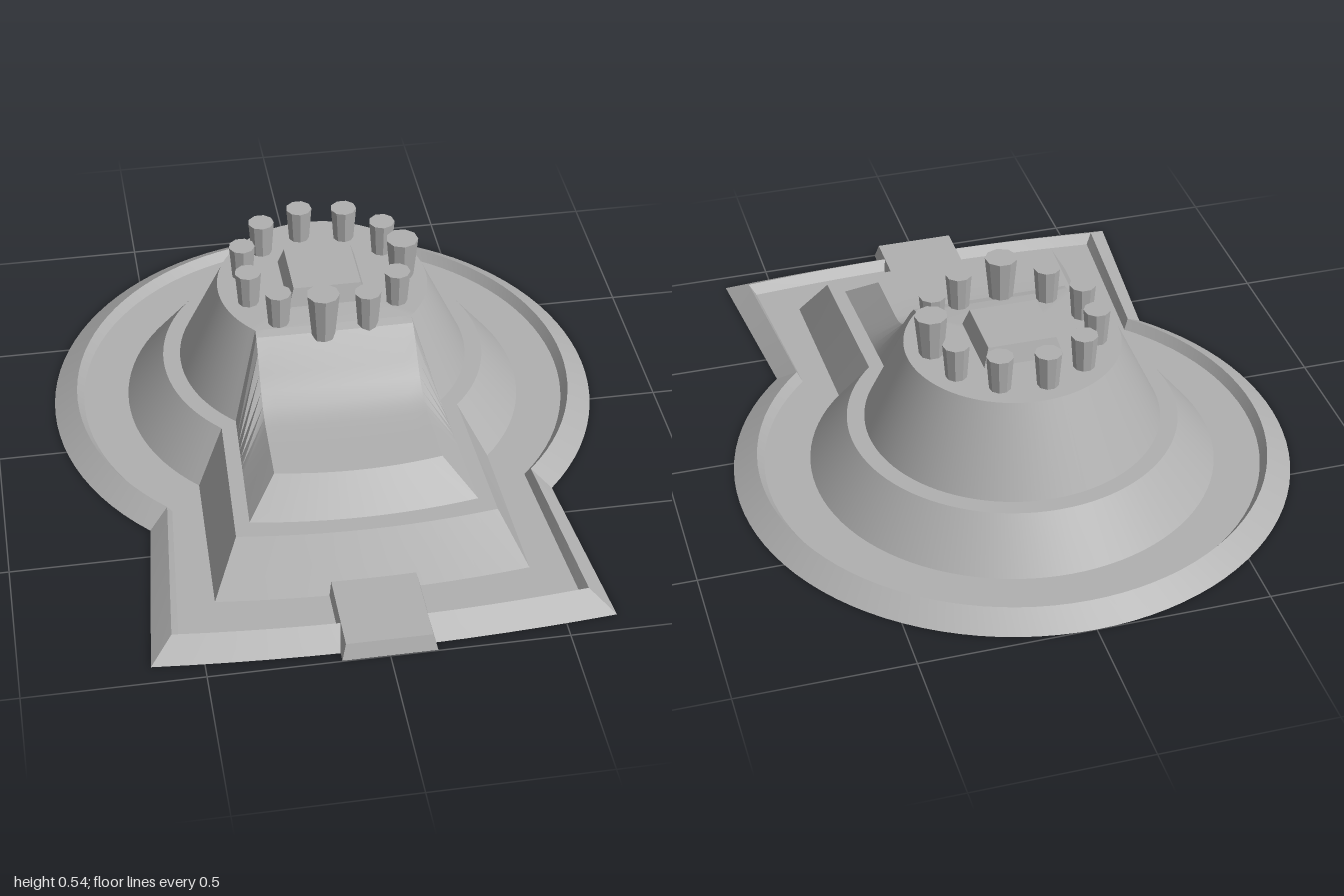
import * as THREE from 'three';
import { toCreasedNormals } from 'three/addons/utils/BufferGeometryUtils.js';

const CZ = -0.18;   // centre of the round part
const COLS = 12;    // divisions across the front edge
const ARC = 72;     // divisions around the round part

// Ramp profile running forward: [fraction of length, height]
const RAMP = [[0, 0.41], [0.06, 0.403], [0.14, 0.37], [0.22, 0.325], [0.3, 0.287],
  [0.38, 0.26], [0.46, 0.245], [0.54, 0.24], [0.75, 0.24], [1, 0.24]];

// Keyhole outline: straight sides flaring from the neck, bowed front, round back
function outline({ r, neck, corner, z, front, y }) {
  const heights = Array.isArray(y) ? y : RAMP.map(() => y);
  const neckZ = CZ + Math.sqrt(r * r - neck * neck);
  const rows = RAMP.map(([t], j) => {
    const x = neck + (corner - neck) * t;
    const rowZ = neckZ + (z - neckZ) * t;
    return Array.from({ length: COLS + 1 }, (_, c) => {
      const u = 1 - (2 * c) / COLS;
      return [x * u, heights[j], rowZ + (front - z) * t * (1 - u * u)];
    });
  });
  const a0 = Math.asin((neckZ - CZ) / r);
  const arc = [];
  for (let i = 1; i < ARC; i++) {
    const a = Math.PI - a0 + (Math.PI + 2 * a0) * (i / ARC);
    arc.push([r * Math.cos(a), heights[0], CZ + r * Math.sin(a)]);
  }
  const ring = [
    ...rows.map((row) => row[0]),
    ...rows[rows.length - 1].slice(1, -1),
    ...rows.map((row) => row[COLS]).reverse(),
    ...arc,
  ];
  return { rows, ring, arc };
}

function surface(points) {
  const g = new THREE.BufferGeometry();
  g.setAttribute('position', new THREE.Float32BufferAttribute(points.flat(), 3));
  return toCreasedNormals(g, 0.35);
}

// Band of faces between two matching outlines
function band(outer, inner) {
  const pts = [];
  const a = outer.ring, b = inner.ring, n = a.length;
  for (let i = 0; i < n; i++) {
    const k = (i + 1) % n;
    pts.push(a[i], b[i], b[k], a[i], b[k], a[k]);
  }
  return surface(pts);
}

// Flat round summit joined to the ramp descending toward the front
function summitAndRamp({ rows, arc }) {
  const pts = [];
  const centre = [0, rows[0][0][1], CZ];
  const rim = [rows[0][COLS], ...arc, rows[0][0]];
  for (let i = 0; i < rim.length; i++) pts.push(centre, rim[(i + 1) % rim.length], rim[i]);
  for (let j = 0; j < rows.length - 1; j++) {
    for (let c = 0; c < COLS; c++) {
      const p = rows[j][c], q = rows[j][c + 1], s = rows[j + 1][c], t = rows[j + 1][c + 1];
      pts.push(p, q, t, p, t, s);
    }
  }
  return surface(pts);
}

export function createModel() {
  const group = new THREE.Group();
  const stone = new THREE.MeshStandardMaterial({ color: 0xb0b0b0, side: THREE.DoubleSide });
  stone.name = 'grey stone';
  const earth = new THREE.MeshStandardMaterial({ color: 0x6f6a5c, side: THREE.DoubleSide });
  earth.name = 'brown earth';

  const add = (name, geometry, material = stone) => {
    const mesh = new THREE.Mesh(geometry, material);
    mesh.name = name;
    group.add(mesh);
    return mesh;
  };

  // Outlines from the ground up
  const ground = outline({ r: 0.82, neck: 0.59, corner: 0.645, z: 0.94, front: 0.97, y: 0 });
  const rimTop = outline({ r: 0.75, neck: 0.535, corner: 0.58, z: 0.87, front: 0.9, y: 0.045 });
  const ditch = { r: 0.73, neck: 0.52, corner: 0.56, z: 0.85, front: 0.876 };
  const foot = { r: 0.595, neck: 0.43, corner: 0.445, z: 0.73, front: 0.757 };
  const ditchEdge = outline({ ...ditch, y: 0.015 });
  const lowerFoot = outline({ ...foot, y: 0.015 });
  const lowerTop = outline({ r: 0.483, neck: 0.35, corner: 0.37, z: 0.63, front: 0.657, y: 0.157 });
  const upperFoot = outline({ r: 0.432, neck: 0.305, corner: 0.325, z: 0.577, front: 0.605, y: 0.157 });
  const upperTop = outline({ r: 0.313, neck: 0.23, corner: 0.24, z: 0.475, front: 0.498,
    y: RAMP.map((p) => p[1]) });

  // Outer bank and shallow ditch
  add('outerBank', band(ground, rimTop));
  add('innerBank', band(rimTop, ditchEdge));
  add('ditchFloor', band(ditchEdge, lowerFoot));
  add('ditchUnderside',
    band(outline({ ...foot, y: 0.01 }), outline({ ...ditch, y: 0.01 })), earth);

  // Two-stepped mound
  add('lowerTier', band(lowerFoot, lowerTop));
  add('terrace', band(lowerTop, upperFoot));
  add('upperTier', band(upperFoot, upperTop));
  add('summitAndRamp', summitAndRamp(upperTop));

  // Causeway slab with sloping ends, crossing the ditch
  const slab = new THREE.BoxGeometry(0.264, 0.046, 0.27);
  const p = slab.attributes.position;
  for (let i = 0; i < p.count; i++) {
    if (p.getY(i) > 0) {
      p.setX(i, p.getX(i) * 0.91);
      if (p.getZ(i) > 0) p.setZ(i, p.getZ(i) - 0.015);
    }
  }
  slab.computeVertexNormals();
  add('causeway', slab).position.set(0, 0.023, 0.863);

  // Square altar on the summit
  const altar = new THREE.CylinderGeometry(0.1 * Math.SQRT2, 0.117 * Math.SQRT2, 0.055, 4)
    .rotateY(Math.PI / 4);
  add('altar', toCreasedNormals(altar, 0.35)).position.set(0, 0.4375, CZ);

  // Ring of flared posts, two of them larger
  for (let i = 0; i < 11; i++) {
    const a = (i / 11) * Math.PI * 2;
    const big = i === 0 || i === 3;
    const bottom = big ? 0.388 : 0.396, top = big ? 0.537 : 0.515;
    const post = new THREE.CylinderGeometry(big ? 0.048 : 0.039, big ? 0.034 : 0.03, top - bottom, 9);
    add(big ? 'largePost' : 'post', toCreasedNormals(post, 0.35))
      .position.set(0.24 * Math.cos(a), (top + bottom) / 2, CZ + 0.24 * Math.sin(a));
  }

  return group;
}
